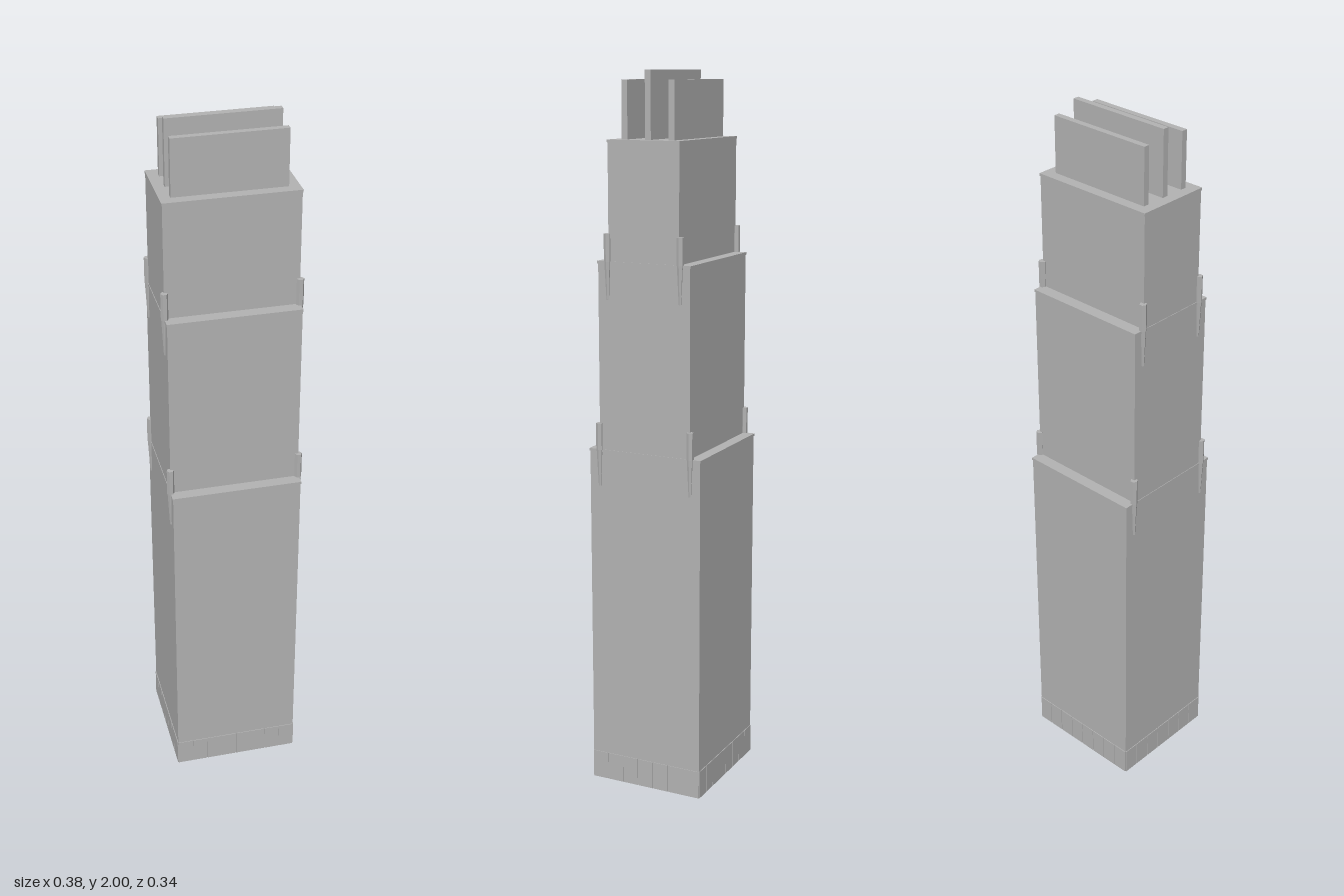
import * as THREE from 'three';

export function createModel() {
  const group = new THREE.Group();
  const grey = new THREE.MeshStandardMaterial({ color: 0xb2b2b2, side: THREE.DoubleSide, flatShading: true });
  grey.name = 'grey facade';

  function add(name, geometry, x = 0, y = 0, z = 0) {
    const mesh = new THREE.Mesh(geometry, grey);
    mesh.name = name;
    mesh.position.set(x, y, z);
    group.add(mesh);
    return mesh;
  }

  // Box standing on y0
  const block = (name, w, y0, y1, d, x = 0, z = 0) =>
    add(name, new THREE.BoxGeometry(w, y1 - y0, d), x, (y0 + y1) / 2, z);

  // Box without its underside (the last-but-two face group is the bottom)
  function openBlock(name, w, y0, y1, d) {
    const mesh = block(name, w, y0, y1, d);
    const index = Array.from(mesh.geometry.index.array);
    index.splice(18, 6);
    mesh.geometry.setIndex(index);
    mesh.geometry.clearGroups();
  }

  // Stepped tower, hollow from below, each tier with a fine roof lip
  const width = 0.36;
  const tiers = [
    { name: 'lowerTier', y0: 0, y1: 0.98, depth: 0.336 },
    { name: 'middleTier', y0: 0.98, y1: 1.5, depth: 0.274 },
    { name: 'upperTier', y0: 1.5, y1: 1.82, depth: 0.21 },
  ];
  for (const t of tiers) {
    openBlock(t.name, width, t.y0, t.y1, t.depth);
    block(t.name + 'RoofLip', width + 0.003, t.y1 - 0.006, t.y1 + 0.001, t.depth + 0.004);
  }

  // Ground floor panels: eight along front and back, seven along each side
  const gap = 0.002, panelHeight = 0.08, thick = 0.002;
  const depth = tiers[0].depth;
  for (const s of [-1, 1]) {
    for (let i = 0; i < 8; i++) {
      const w = width / 8;
      block('groundPanel', w - gap, 0, panelHeight, thick, -width / 2 + w * (i + 0.5), s * (depth + thick) / 2);
    }
    for (let i = 0; i < 7; i++) {
      const w = depth / 7;
      block('groundPanel', thick, 0, panelHeight, w - gap, s * (width + thick) / 2, -depth / 2 + w * (i + 0.5));
    }
  }

  // Hexagonal corner pinnacles with tapered feet at both setbacks
  for (const [y, z] of [[0.98, 0.138], [1.5, 0.108]]) {
    for (const sx of [-1, 1]) {
      for (const sz of [-1, 1]) {
        const shaft = add('pinnacleShaft', new THREE.CylinderGeometry(0.01, 0.01, 0.075, 6), sx * 0.18, y + 0.0375, sz * z);
        const foot = add('pinnacleFoot', new THREE.CylinderGeometry(0.009, 0.004, 0.103, 6), sx * 0.18, y - 0.0515, sz * z);
        shaft.rotation.y = foot.rotation.y = Math.PI / 2;
      }
    }
  }

  // Three upright crown slabs, the middle one tallest
  for (const [z, top] of [[-0.069, 1.975], [0, 2], [0.069, 1.975]]) {
    block('crownSlab', 0.304, 1.82, top, 0.017, 0, z);
  }

  return group;
}
